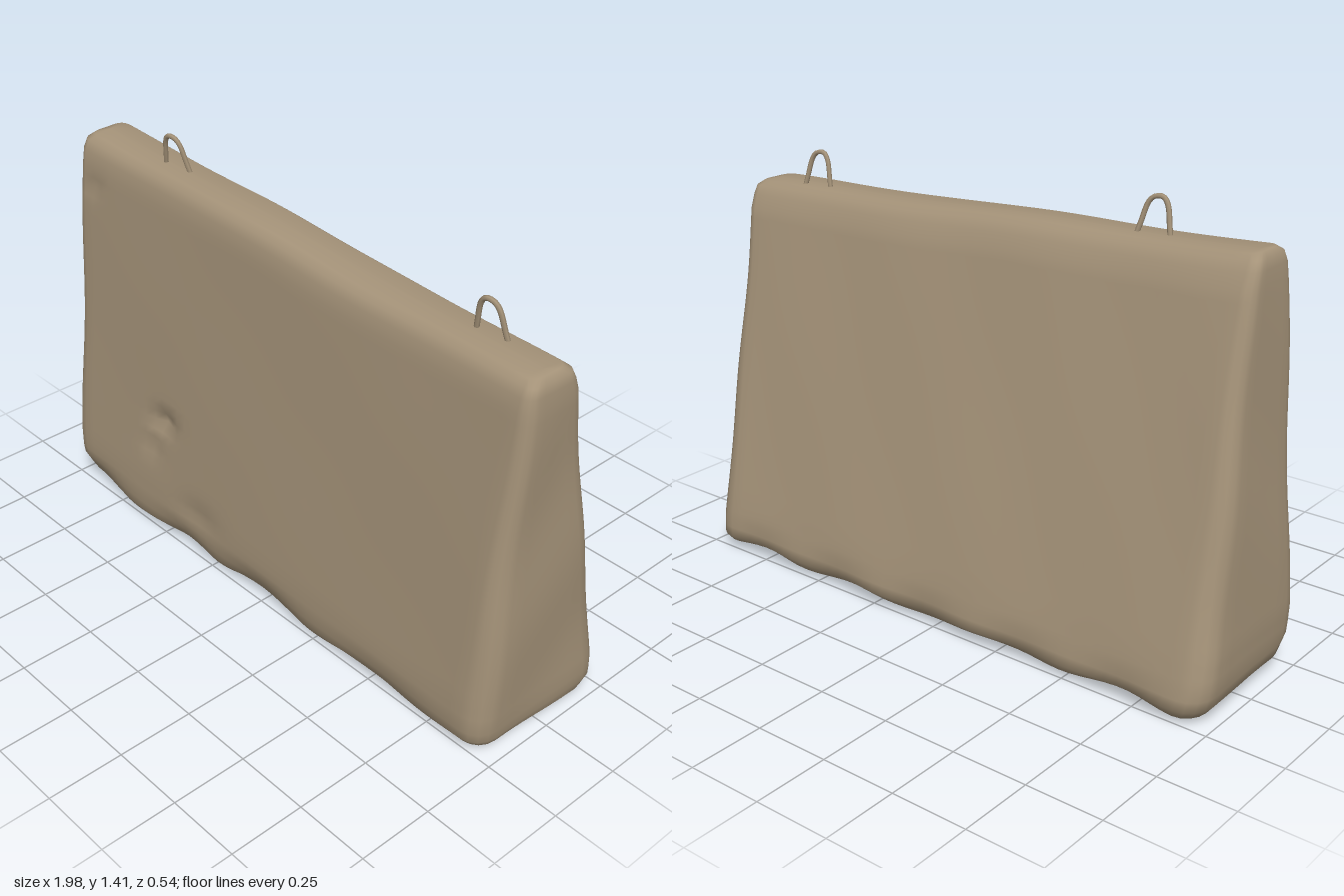
import * as THREE from 'three';

const concrete = new THREE.MeshStandardMaterial({ color: 0xa59379 });
concrete.name = 'weathered concrete';

// Slab sections: height fraction, left x, right x, front z, back z, corner radius
const SECTIONS = [
  [0, -0.9, 0.93, 0.01, 0.01, 0],
  [0.002, -0.93, 0.955, 0.235, -0.21, 0.06],
  [0.012, -0.95, 0.965, 0.255, -0.245, 0.07],
  [0.04, -0.98, 0.975, 0.272, -0.272, 0.08],
  [0.09, -0.993, 0.98, 0.277, -0.264, 0.08],
  [0.16, -0.996, 0.981, 0.273, -0.247, 0.08],
  [0.93, -0.945, 0.988, 0.19, -0.04, 0.04],
  [0.965, -0.942, 0.986, 0.183, -0.022, 0.035],
  [0.988, -0.936, 0.982, 0.17, -0.006, 0.03],
  [1, -0.92, 0.965, 0.15, 0.015, 0.03],
  [1.001, -0.9, 0.94, 0.08, 0.08, 0],
];

const topHeight = (x) => 1.28 - 0.042 * x + 0.004 * Math.sin(6 * x + 2.4);
const bump = (x, y, cx, cy, rx, ry) => Math.exp(-(((x - cx) / rx) ** 2) - ((y - cy) / ry) ** 2);
const wave = (x, y, z) =>
  Math.sin(5.3 * x + 2.1 * y + 1) * Math.sin(4.7 * y - 3 * z) * 0.6 +
  Math.sin(11 * x - 7 * y + 5 * z) * 0.4;

// Rounded rectangle, walked front, right, back, left
function ring([h, x0, x1, zf, zb, radius]) {
  const c = Math.min(radius, (zf - zb) / 2);
  const corners = [
    [x0 + c, zf - c, Math.PI], [x1 - c, zf - c, Math.PI / 2],
    [x1 - c, zb + c, 0], [x0 + c, zb + c, -Math.PI / 2],
  ];
  const pts = [];
  const arcEnd = (k, t) => {
    const [cx, cz, a] = corners[k % 4];
    const angle = a - (t * Math.PI) / 2;
    return [cx + c * Math.cos(angle), cz + c * Math.sin(angle)];
  };
  for (let k = 0; k < 4; k++) {
    for (let i = 0; i < 4; i++) pts.push(arcEnd(k, i / 4));
    const a = arcEnd(k, 1), b = arcEnd(k + 1, 0);
    const n = k % 2 ? 6 : 44;
    for (let i = 0; i < n; i++) {
      pts.push([a[0] + ((b[0] - a[0]) * i) / n, a[1] + ((b[1] - a[1]) * i) / n]);
    }
  }
  return pts.map(([x, z]) => [x, h, z]);
}

// Worn surface: soft waves, dents and a chipped lower edge
function weather([x, h, z], mid) {
  let y = h * topHeight(x);
  const front = z > mid + 0.05 ? 1 : 0;
  const edge = Math.max(0, 1 - y / 0.13);
  const w = wave(x, y, z);
  const side = Math.sign(z - mid);
  let depth = 0.004 - 0.004 * w;
  const chips = bump(x, 0, 0, 0, 0.16, 1) + 0.8 * bump(x, 0, -0.38, 0, 0.12, 1) +
    1.1 * bump(x, 0, -0.9, 0, 0.14, 1) + 0.5 * bump(x, 0, 0.55, 0, 0.2, 1);
  depth += front * edge * 0.045 * chips;
  depth += front * (0.035 * bump(x, y, -0.49, 0.45, 0.05, 0.035) +
    0.014 * bump(x, y, -0.54, 0.34, 0.04, 0.04) +
    0.012 * bump(x, y, -0.86, 1.16, 0.03, 0.03) +
    0.012 * bump(x, y, -0.3, 0.18, 0.09, 0.05));
  depth += (1 - front) * edge * 0.01 * (1 + Math.sin(17 * x + 1));
  if (Math.abs(z - mid) < 0.02) depth = 0;
  // wavy ends and rough underside
  const end = Math.max(0, Math.abs(x) - 0.85) / 0.15;
  const nx = x - Math.sign(x) * end * 0.005 * (1 + Math.sin(9 * y + 8 * z));
  if (h < 0.02) y += 0.006 * (1 + Math.sin(13 * x + 9 * z));
  return [nx, y, z - side * depth];
}

function slabGeometry() {
  // subdivide the tall middle part
  const levels = [];
  SECTIONS.forEach((s, i) => {
    levels.push(s);
    const next = SECTIONS[i + 1];
    if (!next) return;
    const n = Math.max(1, Math.round((next[0] - s[0]) / 0.026));
    for (let k = 1; k < n; k++) levels.push(s.map((v, j) => v + ((next[j] - v) * k) / n));
  });
  const positions = [], index = [];
  let count = 0;
  levels.forEach((level, r) => {
    const pts = ring(level);
    count = pts.length;
    const mid = (level[3] + level[4]) / 2;
    pts.forEach((p) => positions.push(...weather(p, mid)));
    if (r === 0) return;
    for (let i = 0; i < count; i++) {
      const j = (i + 1) % count;
      const a = (r - 1) * count + i, b = (r - 1) * count + j;
      const c = r * count + i, d = r * count + j;
      index.push(a, b, d, a, d, c);
    }
  });
  const g = new THREE.BufferGeometry();
  g.setAttribute('position', new THREE.Float32BufferAttribute(positions, 3));
  g.setIndex(index);
  g.computeVertexNormals();
  return g;
}

// Bent steel lifting loop, leaning slightly forward
function liftingLoop(name, x, base, top, z0, z1) {
  const h = top - base;
  const path = [
    [-0.052, -0.03], [-0.046, 0.25], [-0.032, 0.82], [-0.016, 1],
    [0.012, 0.98], [0.028, 0.82], [0.045, 0.25], [0.055, -0.1],
  ].map(([dx, t]) => new THREE.Vector3(x + dx, base + h * t, z0 + (z1 - z0) * t - dx * 0.1));
  const curve = new THREE.CatmullRomCurve3(path);
  const mesh = new THREE.Mesh(new THREE.TubeGeometry(curve, 24, 0.008, 6), concrete);
  mesh.name = name;
  return mesh;
}

export function createModel() {
  const model = new THREE.Group();
  model.name = 'concreteBarrier';
  const slab = new THREE.Mesh(slabGeometry(), concrete);
  slab.name = 'slab';
  model.add(
    slab,
    liftingLoop('rightLiftingLoop', -0.552, 1.3, 1.404, 0.083, 0.1),
    liftingLoop('leftLiftingLoop', 0.738, 1.245, 1.358, 0.056, 0.07),
  );
  return model;
}
